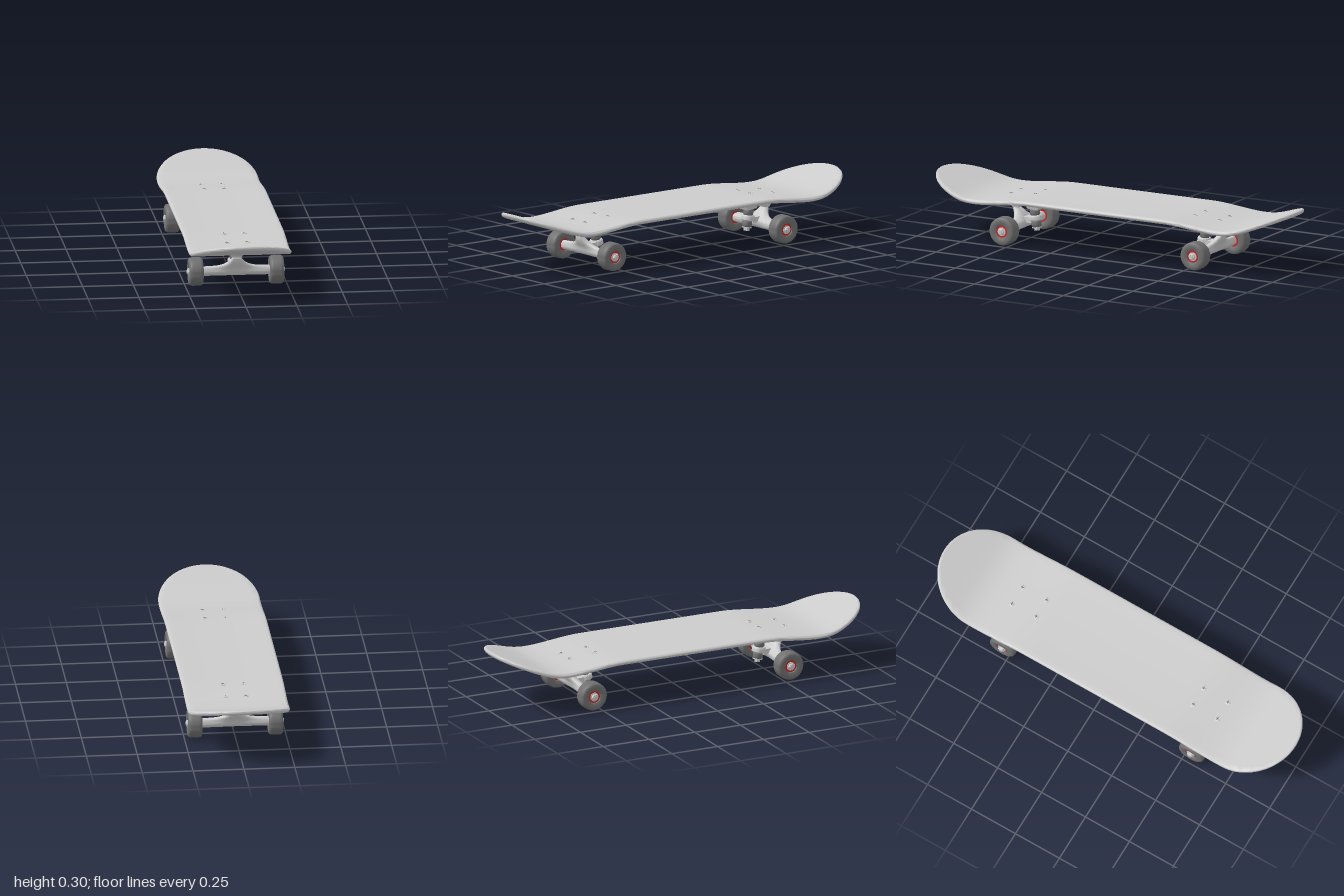
import * as THREE from 'three';
import { toCreasedNormals } from 'three/addons/utils/BufferGeometryUtils.js';

const paint = (color) => new THREE.MeshStandardMaterial({ color });
const grey = paint(0xcccccc), rubber = paint(0x707070), red = paint(0xcc2222);

function add(parent, name, geometry, material = grey, crease = 0.6) {
  const mesh = new THREE.Mesh(toCreasedNormals(geometry, crease), material);
  mesh.name = name;
  parent.add(mesh);
  return mesh;
}

// Skin closed loops of [x, y, z] points into one surface.
function skin(rows) {
  const n = rows[0].length, index = [];
  for (let i = 0; i < rows.length - 1; i++) {
    for (let j = 0; j < n; j++) {
      const k = (j + 1) % n, a = i * n, b = a + n;
      index.push(a + j, b + j, a + k, b + j, b + k, a + k);
    }
  }
  const geometry = new THREE.BufferGeometry();
  geometry.setAttribute('position', new THREE.Float32BufferAttribute(rows.flat(2), 3));
  geometry.setIndex(index);
  return geometry;
}

const lathe = (points, sides = 32) =>
  new THREE.LatheGeometry(points.map(([r, y]) => new THREE.Vector2(r, y)), sides);

// Mid-height of the deck: flat centre, gentle dip, then upturned ends.
const HALF = 0.0115;
function deckHeight(x, z) {
  const d = Math.abs(z), dip = THREE.MathUtils.smoothstep(d, 0.38, 0.7);
  const kick = 0.36 * 0.025 * Math.log(1 + Math.exp((d - 0.75) / 0.025));
  return 0.224 - 0.019 * dip + kick + 0.005 * (1 - dip) * (x / 0.25) ** 2;
}

function deckGeometry() {
  // Each column: position across the width, inset from the rim, height offset.
  const columns = [], across = 20, round = 8;
  for (let j = 0; j < across; j++) columns.push([-1 + (2 * j) / across, HALF, HALF]);
  for (let j = 0; j < round; j++) {
    const a = (Math.PI * j) / round;
    columns.push([1, HALF * (1 - Math.sin(a)), HALF * Math.cos(a)]);
  }
  columns.push(...columns.map(([s, inset, h]) => [-s, inset, -h]));

  // Stations: rounded end, long straight middle, rounded end.
  const stations = [], arc = 20, middle = 60;
  for (let i = 0; i < arc; i++) stations.push([-0.74, -Math.PI / 2 * (1 - i / arc)]);
  for (let i = 0; i <= middle; i++) stations.push([-0.74 + (1.48 * i) / middle, 0]);
  for (let i = 1; i <= arc; i++) stations.push([0.74, Math.PI / 2 * (i / arc)]);

  return skin(stations.map(([z0, a]) => columns.map(([s, inset, h]) => {
    const x = s * (0.25 - inset) * Math.cos(a);
    const z = z0 + (0.26 - inset) * Math.sin(a);
    return [x, deckHeight(x, z) + h, z];
  })));
}

// Axle body: round at the ends, swelling up and outward to the pivot.
const AXLE_Y = 0.07, AXLE_Z = 0.537;
function hangerGeometry() {
  const rows = [], steps = 64, sides = 28;
  for (let i = 0; i <= steps; i++) {
    const x = -0.165 + (0.33 * i) / steps;
    const top = 0.095 + 0.055 * Math.exp(-Math.max(0, Math.abs(x) - 0.02) / 0.03);
    const loop = [];
    for (let j = 0; j < sides; j++) {
      const a = (2 * Math.PI * j) / sides;
      const y = (top + 0.047) / 2 + Math.cos(a) * (top - 0.047) / 2;
      loop.push([x, y, AXLE_Z - 0.024 * Math.sin(a) + 0.7 * Math.max(0, y - 0.085)]);
    }
    rows.push(loop);
  }
  return skin(rows);
}

// Side profile of [z, y] points, extruded across x and narrowed downward.
function bracketGeometry(points, halfWidth) {
  const shape = new THREE.Shape(points.map(([z, y]) => new THREE.Vector2(z, y)));
  const geometry = new THREE.ExtrudeGeometry(shape, { depth: 2 * halfWidth, bevelEnabled: false });
  geometry.translate(0, 0, -halfWidth).rotateY(-Math.PI / 2);
  const p = geometry.attributes.position;
  for (let i = 0; i < p.count; i++) p.setX(i, p.getX(i) * (1 - 6.5 * (0.192 - p.getY(i))));
  return geometry;
}

function makeWheel(side) {
  const wheel = new THREE.Group();
  wheel.name = 'wheel';
  // Tyre with rounded shoulders and a recessed core on both faces.
  const half = [[0.029, 0.024], [0.032, 0.031], [0.038, 0.034], [0.053, 0.0355], [0.06, 0.0345],
    [0.066, 0.031], [0.069, 0.025], [0.07, 0.017]];
  const mirrored = half.map(([r, y]) => [r, -y]);
  add(wheel, 'tyre', lathe([...mirrored, ...half.reverse(), mirrored[0]], 48), rubber);
  for (const s of [-1, 1]) {
    const shield = add(wheel, 'bearingShield', new THREE.CylinderGeometry(0.03, 0.03, 0.004, 32), red);
    shield.position.y = s * 0.025;
    const race = add(wheel, 'bearingRace', lathe([[0, -0.004], [0.022, -0.004], [0.022, 0.003], [0.018, 0.004], [0, 0.004]]));
    race.position.y = s * 0.026;
  }
  const nut = add(wheel, 'axleNut', lathe([[0, 0], [0.017, 0], [0.017, 0.009], [0.014, 0.012], [0, 0.012]], 6));
  nut.position.y = 0.028;
  add(wheel, 'axleTip', new THREE.CylinderGeometry(0.009, 0.009, 0.01, 20)).position.y = 0.038;
  wheel.rotation.z = -side * Math.PI / 2;
  wheel.position.set(side * 0.1985, AXLE_Y, AXLE_Z);
  return wheel;
}

function makeTruck() {
  const truck = new THREE.Group();
  truck.name = 'truck';

  add(truck, 'hanger', hangerGeometry());
  const axle = add(truck, 'axle', new THREE.CylinderGeometry(0.012, 0.012, 0.39, 20));
  axle.rotation.z = Math.PI / 2;
  axle.position.set(0, AXLE_Y, AXLE_Z);

  // Base plate with the pivot arm and kingpin block below it.
  const plate = add(truck, 'basePlate', new THREE.BoxGeometry(0.15, 0.022, 0.21));
  plate.position.set(0, 0.202, 0.515);
  add(truck, 'pivotArm', bracketGeometry(
    [[0.615, 0.192], [0.592, 0.148], [0.562, 0.146], [0.548, 0.168], [0.535, 0.192]], 0.034));
  add(truck, 'kingpinBlock', bracketGeometry(
    [[0.516, 0.192], [0.506, 0.15], [0.45, 0.145], [0.424, 0.192]], 0.042));

  // Kingpin stack, leaning toward the middle of the board.
  const stack = new THREE.Group();
  stack.name = 'kingpin';
  stack.position.set(0, 0.039, 0.465);
  stack.rotation.x = 0.14;
  truck.add(stack);
  add(stack, 'kingpinBolt', new THREE.CylinderGeometry(0.009, 0.009, 0.14, 20)).position.y = 0.07;
  add(stack, 'kingpinNut', new THREE.CylinderGeometry(0.016, 0.016, 0.014, 6)).position.y = 0.008;
  add(stack, 'washer', new THREE.CylinderGeometry(0.024, 0.024, 0.005, 28)).position.y = 0.017;
  const bushing = [[0, 0], [0.021, 0], [0.025, 0.006], [0.025, 0.026], [0.022, 0.032], [0, 0.032]];
  for (const y of [0.019, 0.077]) add(stack, 'bushing', lathe(bushing), rubber).position.y = y;
  const ring = add(stack, 'hangerRing',
    lathe([[0, 0], [0.03, 0], [0.034, 0.005], [0.034, 0.022], [0.03, 0.028], [0, 0.028]]));
  ring.position.y = 0.05;
  const web = add(truck, 'hangerWeb', new THREE.BoxGeometry(0.056, 0.028, 0.05));
  web.position.set(0, 0.092, 0.51);

  // Mounting hardware: domed heads on the deck, nuts under the plate.
  for (const x of [-0.05, 0.05]) for (const z of [0.447, 0.585]) {
    const top = deckHeight(x, z) + HALF;
    const head = add(truck, 'boltHead',
      lathe([[0.015, -0.003], [0.015, 0.001], [0.011, 0.003], [0.004, 0.003], [0.003, 0.001], [0, 0.001]], 20));
    head.position.set(x, top, z);
    for (const turn of [0, Math.PI / 2]) {
      const slot = add(truck, 'boltSlot', new THREE.BoxGeometry(0.016, 0.001, 0.003), rubber);
      slot.position.set(x, top + 0.003, z);
      slot.rotation.y = turn;
    }
    add(truck, 'boltNut', new THREE.CylinderGeometry(0.012, 0.012, 0.014, 6)).position.set(x, 0.183, z);
    add(truck, 'boltTip', new THREE.CylinderGeometry(0.007, 0.007, 0.024, 16)).position.set(x, 0.18, z);
  }

  for (const side of [-1, 1]) truck.add(makeWheel(side));
  return truck;
}

export function createModel() {
  const board = new THREE.Group();
  board.name = 'skateboard';
  add(board, 'deck', deckGeometry(), grey, 0.8);
  for (const turn of [0, Math.PI]) {
    const truck = makeTruck();
    truck.rotation.y = turn;
    board.add(truck);
  }
  return board;
}
